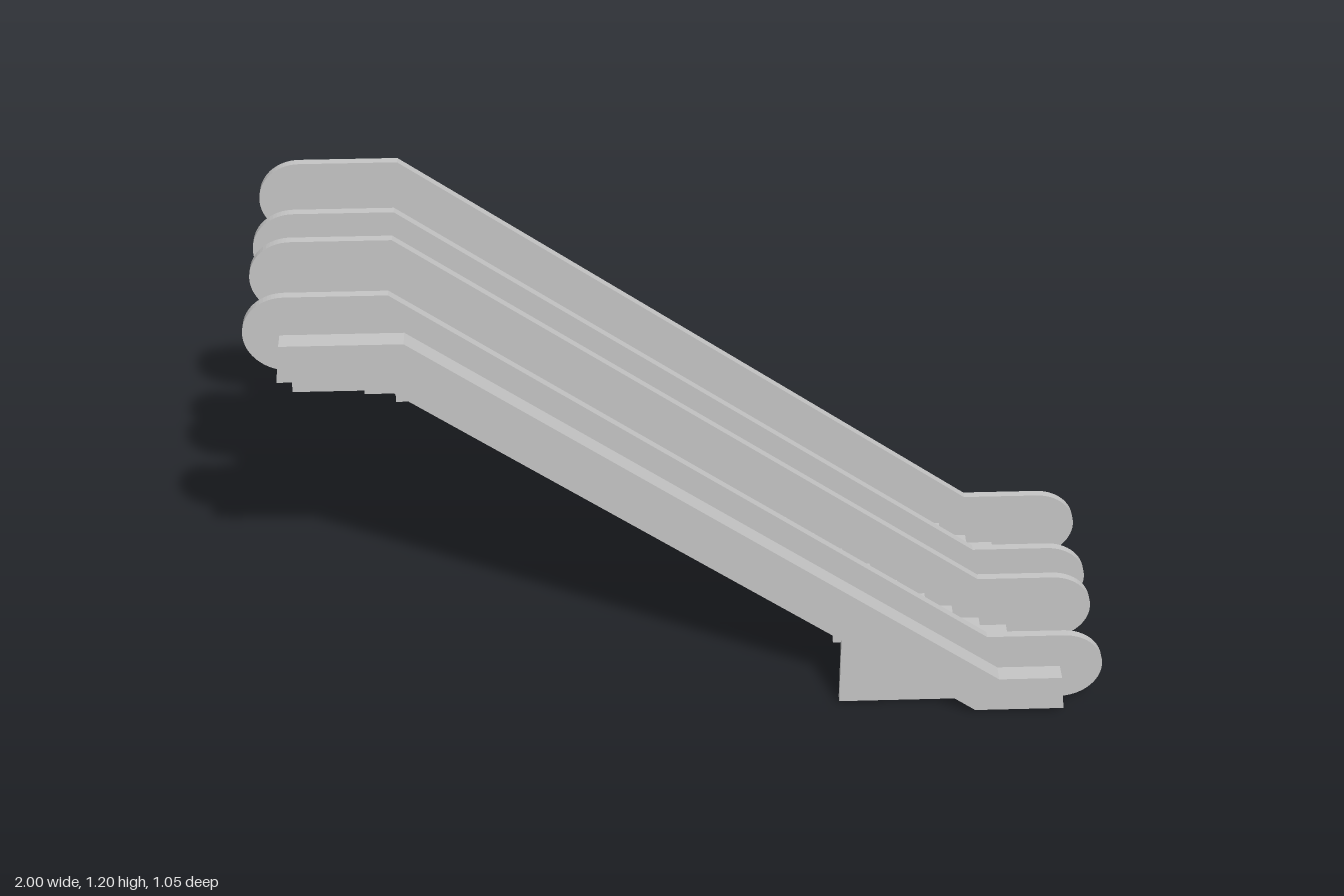
import * as THREE from 'three';

export function createModel() {
  const model = new THREE.Group();
  model.name = 'twinEscalator';
  const metal = new THREE.MeshStandardMaterial({ color: 0xc4c4c4 });
  metal.name = 'light grey metal';

  // The pair of flights stands at an angle to the axes
  const body = new THREE.Group();
  body.name = 'escalatorBody';
  body.rotation.y = Math.PI / 12;
  model.add(body);

  function add(name, geometry, x = 0, y = 0, z = 0) {
    const mesh = new THREE.Mesh(geometry, metal);
    mesh.name = name;
    mesh.position.set(x, y, z);
    body.add(mesh);
  }

  // Extrude a side profile across the width from z0 to z1
  function slab(name, shape, z0, z1) {
    const geometry = new THREE.ExtrudeGeometry(shape, {
      depth: z1 - z0, bevelEnabled: false, curveSegments: 16,
    });
    add(name, geometry, 0, 0, z0);
  }

  function box(name, x0, x1, y0, y1, z0, z1) {
    add(name, new THREE.BoxGeometry(x1 - x0, y1 - y0, z1 - z0),
      (x0 + x1) / 2, (y0 + y1) / 2, (z0 + z1) / 2);
  }

  // Balustrade: rounded ends, sloping middle and the support panel below
  const rail = new THREE.Shape();
  rail.moveTo(-0.865, 1.203);
  rail.absellipse(-0.865, 1.107, 0.096, 0.096, Math.PI / 2, Math.PI * 1.5, false);
  rail.lineTo(-0.865, 0.953);
  rail.lineTo(-0.66, 0.953);
  rail.lineTo(0.347, 0.2);
  rail.lineTo(0.347, 0.01);
  rail.lineTo(0.865, 0.01);
  rail.absellipse(0.865, 0.105, 0.096, 0.095, -Math.PI / 2, Math.PI / 2, false);
  rail.lineTo(0.686, 0.2);
  rail.lineTo(-0.645, 1.203);
  rail.closePath();
  for (const z of [-0.262, -0.06, 0.049, 0.257]) slab('balustrade', rail, z - 0.009, z + 0.009);

  // Outer skirts and the deck between the flights
  const skirt = new THREE.Shape([
    [-0.893, 1.01], [-0.65, 1.01], [0.664, 0.01], [0.872, 0.01],
    [0.862, 0.105], [0.715, 0.105], [-0.616, 1.105], [-0.882, 1.105],
  ].map(([x, y]) => new THREE.Vector2(x, y)));
  slab('outerSkirt', skirt, 0.257, 0.308);
  slab('outerSkirt', skirt, -0.311, -0.262);
  slab('middleDeck', skirt, -0.06, 0.049);

  // Step heights flatten out towards both landings
  const run = 0.067;
  const top = [0.983, 0.96, 0.937];
  for (let k = 0; k < 14; k++) top.push(0.893 - 0.049 * k);
  top.push(0.204, 0.16, 0.12, 0.08, 0.055, 0.033);

  for (const [z0, z1] of [[-0.253, -0.069], [0.058, 0.248]]) {
    box('upperLanding', -0.752, -0.645, 0.955, 1.01, z0, z1);
    top.forEach((y, i) => {
      const x = -0.645 + run * i;
      box('step', x - run, x, Math.max(0.012, y - 0.053), y, z0, z1);
    });
  }
  // Comb plate at the foot of both flights
  box('lowerLanding', 0.815, 0.86, 0, 0.015, -0.253, 0.248);
  return model;
}
